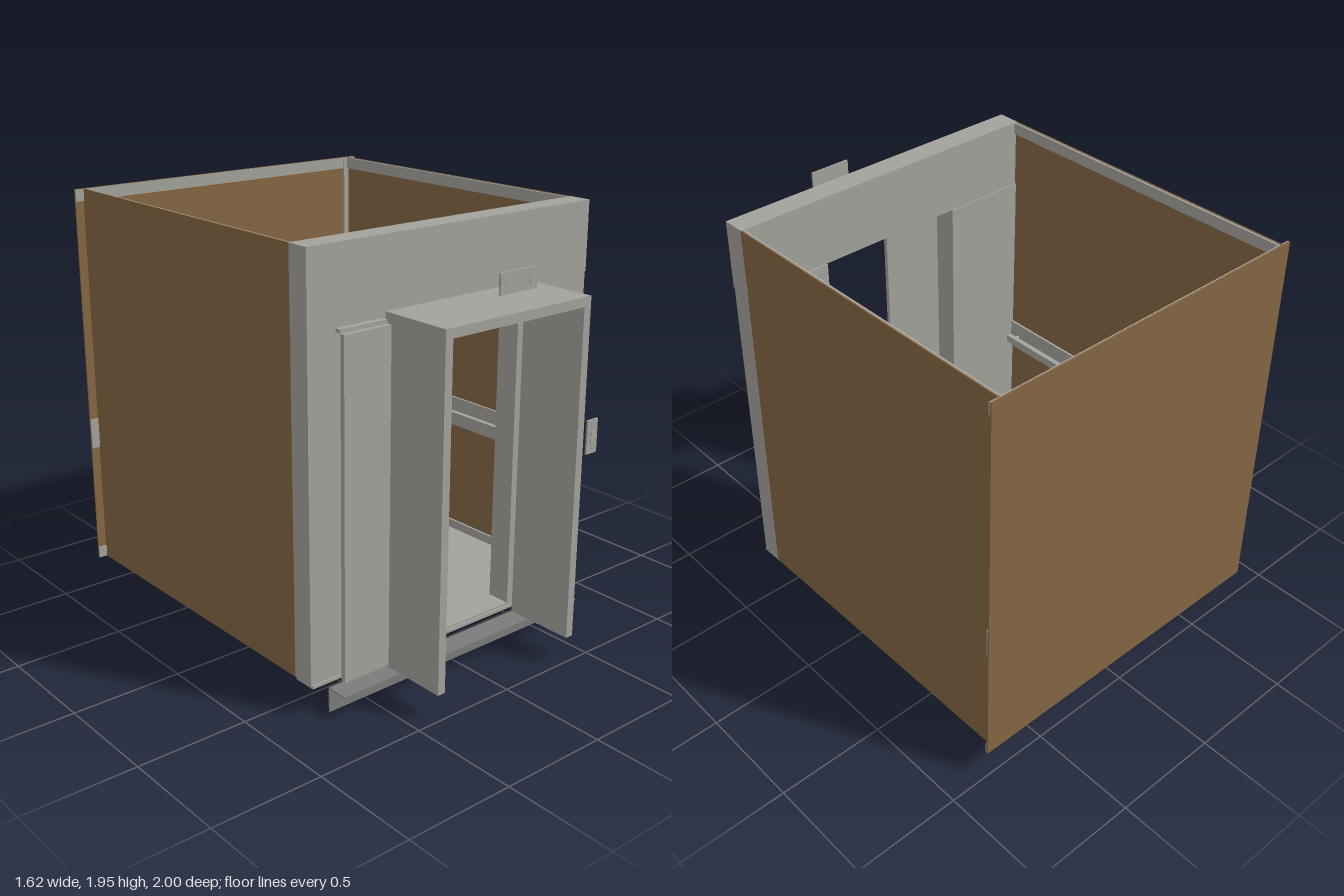
import * as THREE from 'three';

export function createModel() {
  const model = new THREE.Group();
  const steel = new THREE.MeshStandardMaterial({ name: 'brushed steel', color: 0xa3a29c });
  const wood = new THREE.MeshStandardMaterial({ name: 'brown panel', color: 0x856643 });
  const dark = new THREE.MeshStandardMaterial({ name: 'dark steel', color: 0x7b7b7a });

  // Box given by its limits on each axis
  function box(name, mat, x0, x1, y0, y1, z0, z1, parent = model) {
    const mesh = new THREE.Mesh(new THREE.BoxGeometry(x1 - x0, y1 - y0, z1 - z0), mat);
    mesh.name = name;
    mesh.position.set((x0 + x1) / 2, (y0 + y1) / 2, (z0 + z1) / 2);
    parent.add(mesh);
    return mesh;
  }
  // Box on both sides, given by its limits on the +x side
  function pair(name, mat, x0, x1, ...rest) {
    box(name + 'Left', mat, x0, x1, ...rest);
    box(name + 'Right', mat, -x1, -x0, ...rest);
  }
  // Round bar between two points
  function bar(name, from, to, radius) {
    const a = new THREE.Vector3(...from), b = new THREE.Vector3(...to);
    const mesh = new THREE.Mesh(new THREE.CylinderGeometry(radius, radius, a.distanceTo(b), 16), steel);
    mesh.name = name;
    mesh.position.copy(a).add(b).multiplyScalar(0.5);
    mesh.quaternion.setFromUnitVectors(new THREE.Vector3(0, 1, 0), b.sub(a).normalize());
    model.add(mesh);
  }
  // Thin triangular arrow facing the front
  function arrow(name, x, y, z, size, up) {
    const geo = new THREE.CylinderGeometry(size, size, 0.004, 3);
    geo.rotateX(Math.PI / 2);
    const mesh = new THREE.Mesh(geo, steel);
    mesh.name = name;
    mesh.position.set(x, y, z);
    mesh.rotation.z = up ? Math.PI : 0;
    model.add(mesh);
  }

  // Cab floor and walls
  box('floor', steel, -0.765, 0.765, 0.142, 0.152, -0.99, 0.64);
  pair('sideWall', wood, 0.763, 0.77, 0.14, 1.945, -0.992, 0.54);
  box('backWall', wood, -0.81, 0.81, 0.14, 1.945, -1, -0.993);

  // Skirting, rail band and top trim on the inner faces
  for (const [name, y0, y1] of [['skirting', 0.142, 0.195], ['railBand', 0.71, 0.855], ['topTrim', 1.89, 1.943]]) {
    box(name + 'Back', steel, -0.81, 0.81, y0, y1, -0.993, -0.986);
    pair(name, steel, 0.752, 0.763, y0, y1, -0.986, 0.535);
  }
  pair('cornerTrim', steel, 0.735, 0.763, 0.15, 1.94, -0.992, -0.98);

  // Handrails with their brackets
  const railY = 0.78;
  box('handrailBack', steel, -0.7, 0.7, railY - 0.017, railY + 0.017, -0.965, -0.94);
  pair('handrail', steel, 0.705, 0.73, railY - 0.017, railY + 0.017, -0.89, 0.51);
  for (const x of [-0.67, 0, 0.67]) bar('railBracket', [x, railY, -0.988], [x, railY, -0.96], 0.009);
  for (const z of [-0.86, -0.19, 0.48])
    for (const s of [-1, 1]) bar('railBracket', [s * 0.755, railY, z], [s * 0.725, railY, z], 0.009);

  // Cab front: returns, header and sill
  pair('frontReturn', steel, 0.36, 0.768, 0.14, 1.63, 0.53, 0.642);
  box('frontHeader', steel, -0.77, 0.77, 1.63, 1.945, 0.537, 0.645);
  box('cabSill', steel, -0.765, 0.765, 0.128, 0.142, 0.54, 0.65);

  // Control panel on the inside of the front
  box('controlPanel', steel, 0.44, 0.68, 0.75, 1.28, 0.522, 0.53);
  for (let row = 0; row < 4; row++)
    for (const x of [0.53, 0.59]) bar('floorButton', [x, 0.9 + row * 0.06, 0.519], [x, 0.9 + row * 0.06, 0.524], 0.013);

  // Half open sliding doors
  box('rearDoor', steel, -0.465, -0.06, 0.13, 1.615, 0.648, 0.668);
  box('frontDoor', steel, -0.635, -0.22, 0.13, 1.602, 0.675, 0.697);
  box('doorTrack', steel, -0.635, -0.4, 1.602, 1.618, 0.645, 0.672);

  // Angled landing sill
  box('landingSillPlate', dark, -0.69, 0.69, 0.108, 0.113, 0.66, 0.762);
  box('landingSillApron', dark, -0.69, 0.69, 0, 0.113, 0.658, 0.662);

  // Landing door frame
  pair('jamb', steel, 0.362, 0.4, 0.12, 1.605, 0.67, 1);
  box('frameHead', steel, -0.4, 0.4, 1.605, 1.647, 0.66, 1);

  // Landing indicator
  box('indicatorPlate', steel, -0.103, 0.099, 1.722, 1.81, 0.972, 0.981);
  arrow('indicatorArrow', -0.06, 1.766, 0.982, 0.022, true);
  arrow('indicatorArrow', 0.06, 1.766, 0.982, 0.022, false);

  // Landing call station
  box('callPlate', steel, 0.452, 0.514, 0.945, 1.096, 0.968, 0.977);
  box('callButton', steel, 0.473, 0.493, 1.025, 1.045, 0.977, 0.981);
  box('callButton', steel, 0.473, 0.493, 0.995, 1.015, 0.977, 0.981);
  arrow('callArrow', 0.483, 1.068, 0.978, 0.011, true);
  arrow('callArrow', 0.483, 0.973, 0.978, 0.011, false);

  return model;
}
